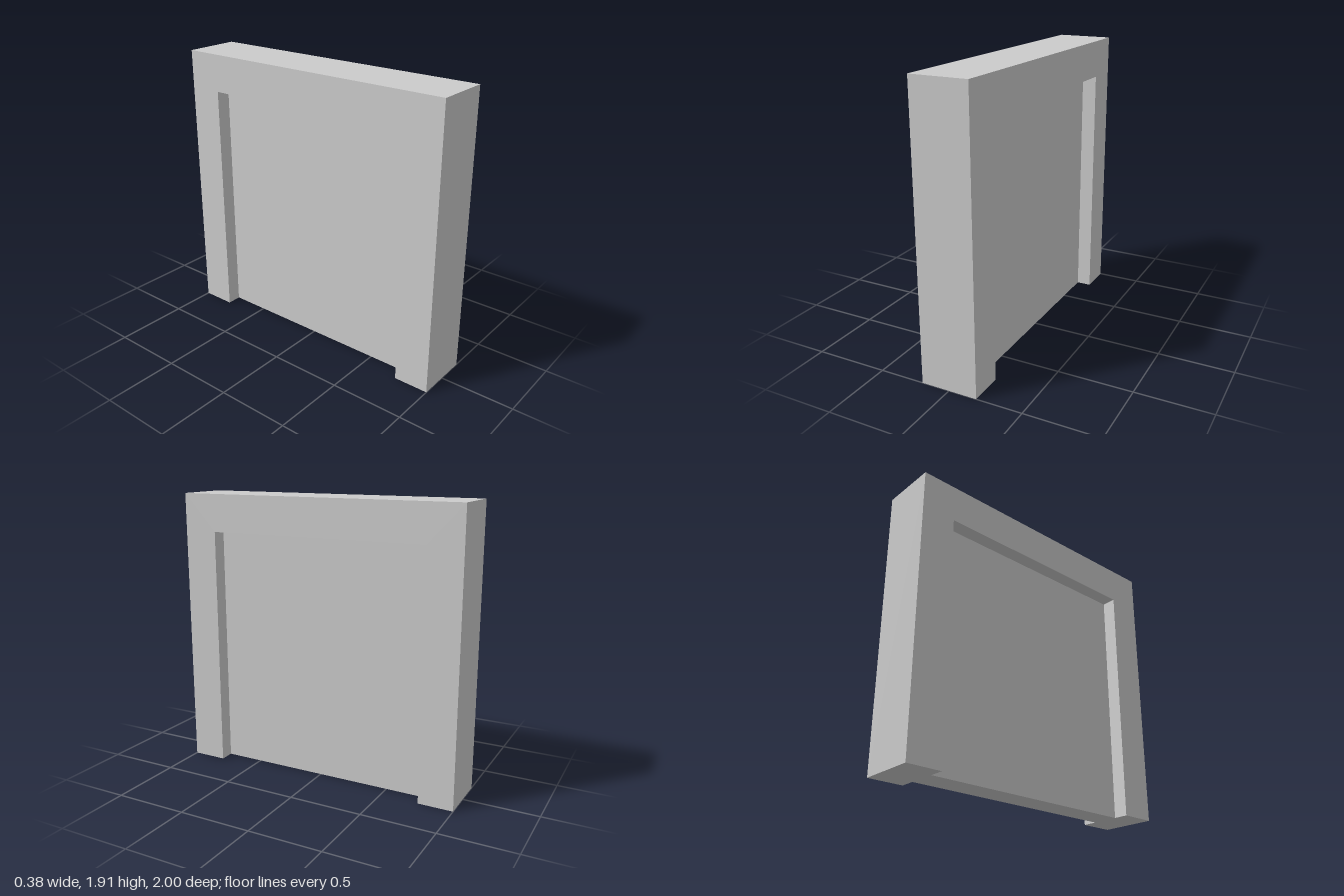
import * as THREE from 'three';

const HEIGHT = 1.915, HALF_SPAN = 1, THICKNESS = 0.384;
const OPENING_HALF = 0.763, OPENING_TOP = 1.66, PANEL_THICKNESS = 0.184;

export function createModel() {
  const group = new THREE.Group();
  group.name = 'framedPanel';
  const material = new THREE.MeshStandardMaterial({ color: 0xcccccc, flatShading: true });

  // Frame: two legs and a lintel, one U-shaped outline extruded across x
  const outline = new THREE.Shape([
    [-HALF_SPAN, 0], [-OPENING_HALF, 0], [-OPENING_HALF, OPENING_TOP],
    [OPENING_HALF, OPENING_TOP], [OPENING_HALF, 0], [HALF_SPAN, 0],
    [HALF_SPAN, HEIGHT], [-HALF_SPAN, HEIGHT],
  ].map(([z, y]) => new THREE.Vector2(z, y)));
  const frameGeometry = new THREE.ExtrudeGeometry(outline, { depth: THICKNESS, bevelEnabled: false });
  frameGeometry.translate(0, 0, -THICKNESS / 2).rotateY(Math.PI / 2);
  const frame = new THREE.Mesh(frameGeometry, material);
  frame.name = 'frame';
  group.add(frame);

  // Panel: fills the opening, recessed equally on both sides
  const panel = new THREE.Mesh(
    new THREE.BoxGeometry(PANEL_THICKNESS, OPENING_TOP, OPENING_HALF * 2), material);
  panel.name = 'recessedPanel';
  panel.position.y = OPENING_TOP / 2;
  group.add(panel);

  return group;
}
